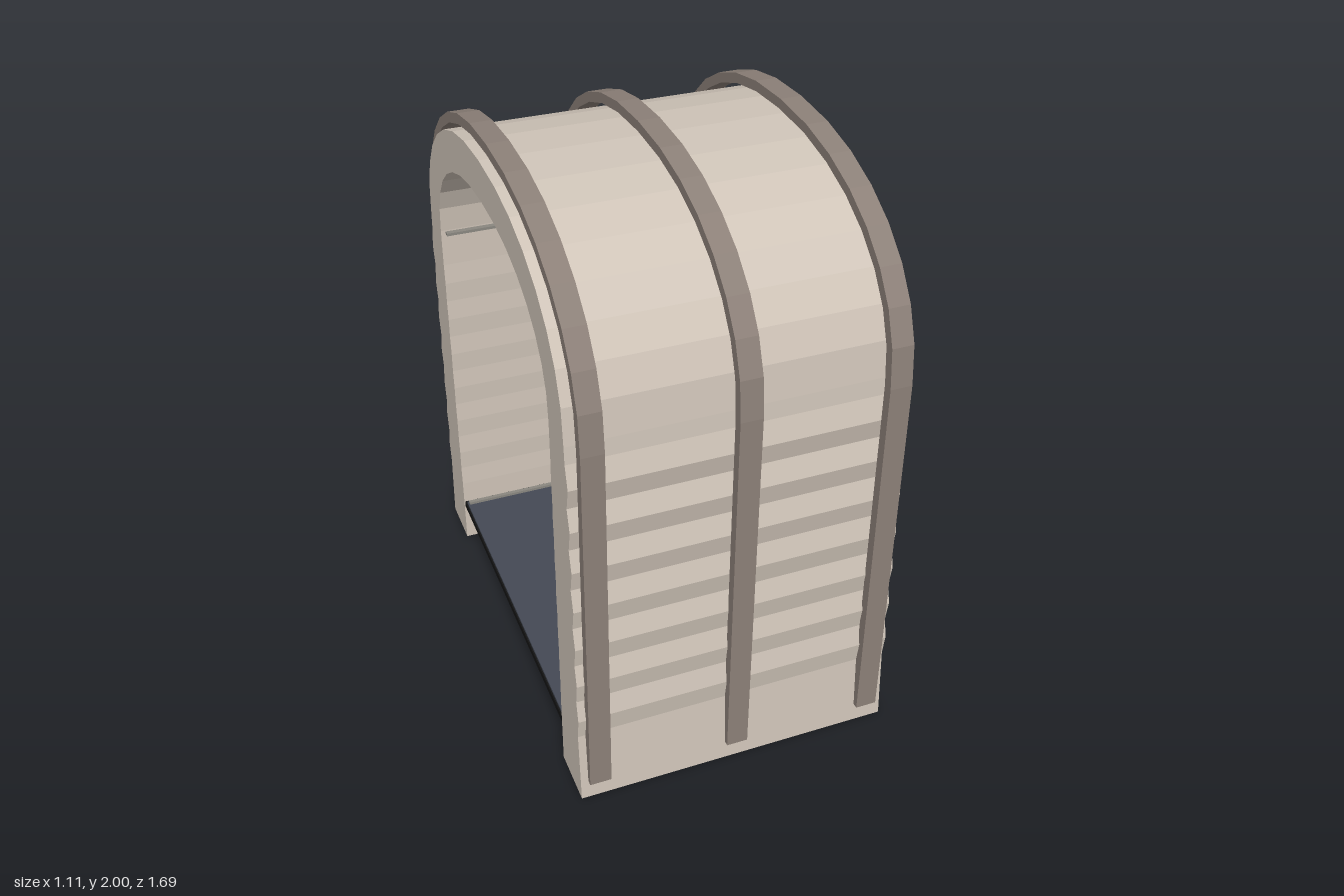
import * as THREE from 'three';

const paint = (name, color) => {
  const m = new THREE.MeshStandardMaterial({ color });
  m.name = name;
  return m;
};

// Points of a squarish arch from +a over the top to -a
function archPoints(a, b, spring, segments = 16, power = 2.2) {
  const pts = [];
  for (let i = 0; i <= segments; i++) {
    const t = (Math.PI * i) / segments;
    const c = Math.cos(t), s = Math.max(0, Math.sin(t));
    pts.push([
      Math.sign(c) * a * Math.pow(Math.abs(c), 2 / power),
      spring + b * Math.pow(s, 2 / power),
    ]);
  }
  return pts;
}

// Side profile from the ground up, mirrored around an arch
function fullProfile(side, arch) {
  const mirrored = side.map(([x, y]) => [-x, y]).reverse();
  return [...side, ...arch, ...mirrored];
}

// Extrudes the band between two profiles along x, centred on x = 0
function archBand(outer, inner, width) {
  const pts = [...outer, ...[...inner].reverse()].map(([x, y]) => new THREE.Vector2(x, y));
  const geo = new THREE.ExtrudeGeometry(new THREE.Shape(pts), { depth: width, bevelEnabled: false });
  geo.translate(0, 0, -width / 2);
  geo.rotateY(Math.PI / 2);
  return geo;
}

export function createModel() {
  const group = new THREE.Group();
  const shellMat = paint('warm beige', 0xcfc4b8);
  const ribMat = paint('brown grey', 0x8c8078);
  const floorMat = paint('slate blue', 0x444955);
  const blackMat = paint('black', 0x141414);
  const trimMat = paint('trim grey', 0x8a8780);

  const add = (name, geo, mat, x = 0, y = 0, z = 0) => {
    const mesh = new THREE.Mesh(geo, mat);
    mesh.name = name;
    mesh.position.set(x, y, z);
    group.add(mesh);
  };

  // Corrugated walls: troughs and crests, leaning inward with height
  const outerSide = [[0.83, 0]];
  const innerSide = [[0.635, 0]];
  for (let i = 0; i < 14; i++) {
    const y = 0.27 + i * 0.0762;
    const k = i / 13;
    const crest = i % 2 === 1;
    outerSide.push([crest ? 0.823 - 0.023 * k : 0.81 - 0.03 * k, y]);
    innerSide.push([crest ? 0.636 : 0.633, y]);
  }
  outerSide.push([0.779, 1.34]);
  const shellOuter = fullProfile(outerSide, archPoints(0.775, 0.55, 1.4));
  const shellInner = fullProfile(innerSide, archPoints(0.635, 0.41, 1.4));
  add('shell', archBand(shellOuter, shellInner, 1.106), shellMat);

  // Three hoops over the shell
  const ribGeo = archBand(
    fullProfile([[0.845, 0.07]], archPoints(0.845, 0.6, 1.4)),
    fullProfile([[0.81, 0.07]], archPoints(0.81, 0.565, 1.4)),
    0.074,
  );
  for (const x of [-0.49, 0, 0.49]) add('rib', ribGeo, ribMat, x);

  // Floor slab with its covering
  add('floorSlab', new THREE.BoxGeometry(1.1, 0.024, 1.266), blackMat, 0, 0.168, 0);
  add('floorCover', new THREE.BoxGeometry(1.09, 0.01, 1.23), floorMat, 0, 0.185, 0);

  // Floor trims and wall rails on both sides
  for (const side of [-1, 1]) {
    add('floorTrim', new THREE.BoxGeometry(1.08, 0.01, 0.015), trimMat, 0, 0.195, side * 0.6);
    add('wallRail', new THREE.BoxGeometry(1.08, 0.01, 0.02), trimMat, 0, 1.4, side * 0.607);
  }

  // Ceiling panel
  add('ceilingPanel', new THREE.BoxGeometry(0.98, 0.009, 0.158), blackMat, 0, 1.795, 0);

  return group;
}
